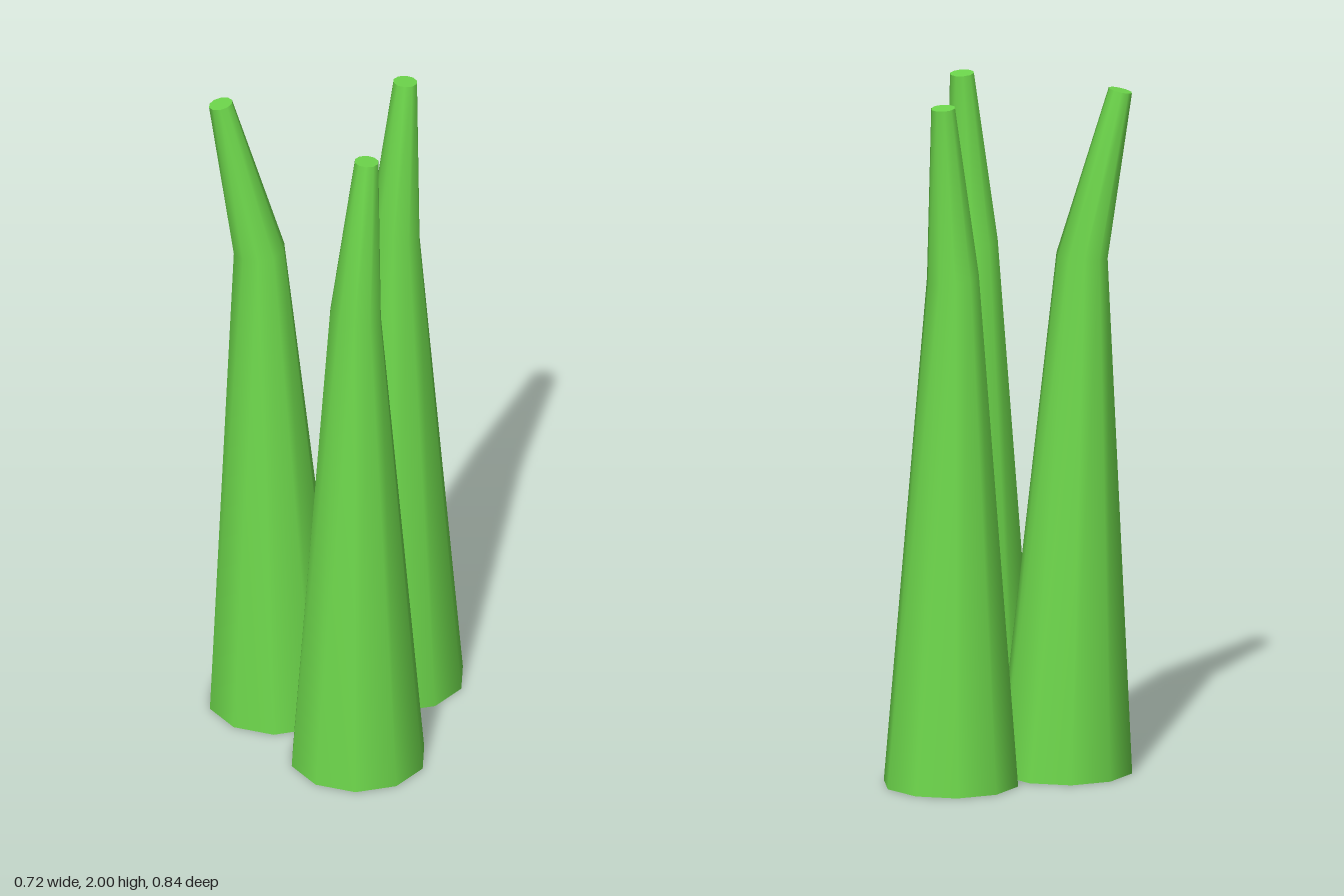
import * as THREE from 'three';

const SIDES = 10;

// Ring of points around a centre; sx and sz tilt its plane
function ring({ c: [x, y, z], r, sx = 0, sz = 0 }) {
  const points = [];
  for (let i = 0; i < SIDES; i++) {
    const a = (i / SIDES) * Math.PI * 2;
    const dx = Math.sin(a) * r, dz = Math.cos(a) * r;
    points.push([x + dx, y + dx * sx + dz * sz, z + dz]);
  }
  return points;
}

function geometry(points, index) {
  const g = new THREE.BufferGeometry();
  g.setAttribute('position', new THREE.Float32BufferAttribute(points.flat(), 3));
  g.setIndex(index);
  g.computeVertexNormals();
  return g;
}

// Smooth tapered wall joining successive rings
function wall(rings) {
  const index = [];
  for (let k = 0; k < rings.length - 1; k++) {
    for (let i = 0; i < SIDES; i++) {
      const j = (i + 1) % SIDES;
      const a = k * SIDES + i, b = k * SIDES + j;
      index.push(a, b, b + SIDES, a, b + SIDES, a + SIDES);
    }
  }
  return geometry(rings.flat(), index);
}

// Flat polygon closing an end
function cap(points, faceUp) {
  const index = [];
  for (let i = 1; i < SIDES - 1; i++) {
    if (faceUp) index.push(0, i, i + 1);
    else index.push(0, i + 1, i);
  }
  return geometry(points, index);
}

export function createModel() {
  const model = new THREE.Group();
  model.name = 'stalkCluster';
  const green = new THREE.MeshStandardMaterial({ color: 0x6ed84c });
  green.name = 'leafGreen';

  function addStalk(name, sections) {
    const rings = sections.map(ring);
    const stalk = new THREE.Group();
    stalk.name = name;
    const parts = {
      Wall: wall(rings),
      Base: cap(rings[0], false),
      Tip: cap(rings[rings.length - 1], true),
    };
    for (const [part, g] of Object.entries(parts)) {
      const mesh = new THREE.Mesh(g, green);
      mesh.name = name + part;
      stalk.add(mesh);
    }
    model.add(stalk);
  }

  // Two matching stalks that bend slightly at the top
  for (const [name, x, z] of [['frontStalk', 0.075, 0.22], ['backStalk', 0.17, -0.222]]) {
    addStalk(name, [
      { c: [x, 0, z], r: 0.197 },
      { c: [x - 0.007, 1.485, z + 0.016], r: 0.076, sx: -0.15, sz: 0.12 },
      { c: [x + 0.024, 1.985, z - 0.016], r: 0.035, sx: -0.06, sz: 0.06 },
    ]);
  }

  // Stalk leaning strongly outwards
  addStalk('rightStalk', [
    { c: [-0.17, 0, -0.086], r: 0.197 },
    { c: [-0.219, 1.51, -0.086], r: 0.075, sx: 0.07 },
    { c: [-0.329, 1.992, -0.086], r: 0.034, sx: 0.23 },
  ]);

  return model;
}
